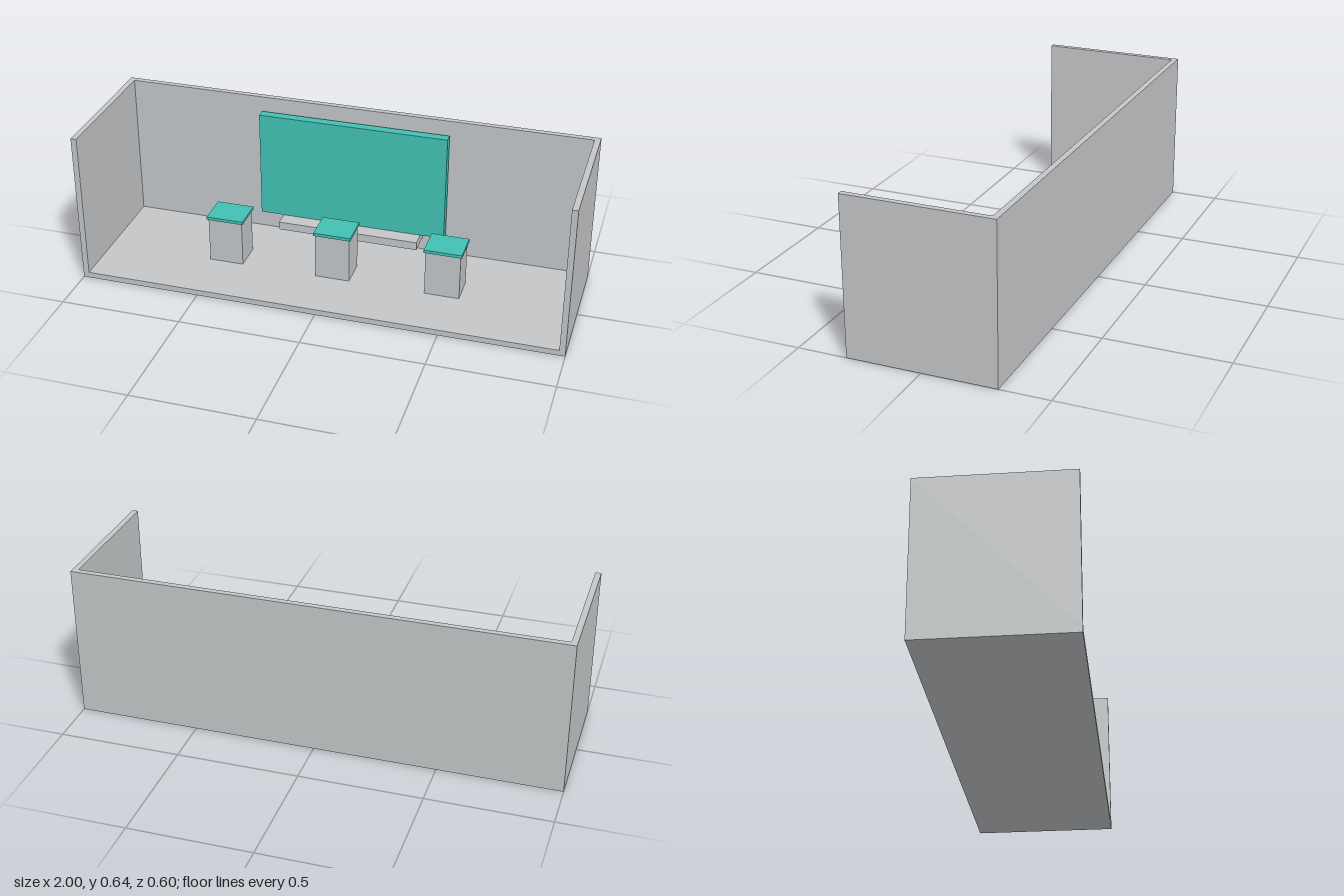
import * as THREE from 'three';

export function createModel() {
  const model = new THREE.Group();
  const grey = new THREE.MeshStandardMaterial({ name: 'lightGrey', color: 0xc3c6c8 });
  const teal = new THREE.MeshStandardMaterial({ name: 'teal', color: 0x41c1b4 });

  // Box given by its minimum and maximum corners
  function box(name, material, [x0, y0, z0], [x1, y1, z1], parent = model) {
    const mesh = new THREE.Mesh(new THREE.BoxGeometry(x1 - x0, y1 - y0, z1 - z0), material);
    mesh.position.set((x0 + x1) / 2, (y0 + y1) / 2, (z0 + z1) / 2);
    mesh.name = name;
    parent.add(mesh);
  }

  const W = 1, D = 0.3, H = 0.64, T = 0.024;

  // Shell: one U-shaped wall standing on the floor slab
  box('floor', grey, [-W, 0, -D], [W, T, D]);
  const plan = new THREE.Shape([
    [-W, -D], [W, -D], [W, D], [W - T, D],
    [W - T, -D + T], [-W + T, -D + T], [-W + T, D], [-W, D],
  ].map(([x, z]) => new THREE.Vector2(x, -z)));
  const wallGeometry = new THREE.ExtrudeGeometry(plan, { depth: H - T, bevelEnabled: false });
  wallGeometry.rotateX(-Math.PI / 2).translate(0, T, 0);
  const walls = new THREE.Mesh(wallGeometry, grey);
  walls.name = 'walls';
  model.add(walls);

  // Display panel and the shelf under it
  box('displayPanel', teal, [-0.4, 0.12, -0.264], [0.4, 0.58, -0.225]);
  box('shelf', grey, [-0.3, 0.085, -D + T], [0.3, 0.12, -0.16]);

  // Three pedestals with overhanging caps
  for (const x of [-0.46, 0, 0.46]) {
    const pedestal = new THREE.Group();
    pedestal.name = 'pedestal';
    pedestal.position.set(x, 0, -0.004);
    box('pedestalBody', grey, [-0.072, T, -0.062], [0.072, 0.217, 0.062], pedestal);
    box('pedestalCap', teal, [-0.078, 0.217, -0.068], [0.078, 0.23, 0.068], pedestal);
    model.add(pedestal);
  }
  return model;
}
